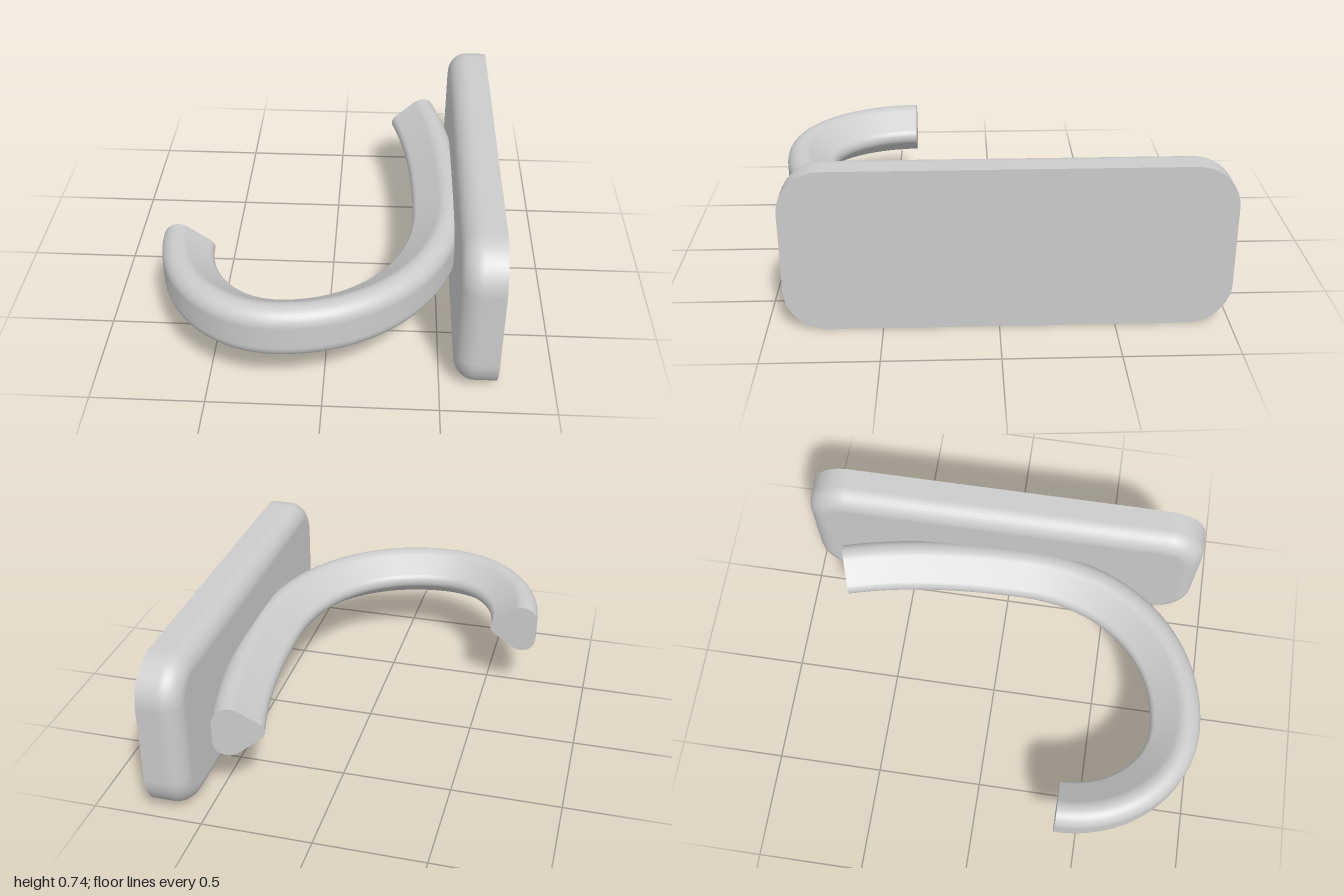
import * as THREE from 'three';

const V = (x, y, z) => new THREE.Vector3(x, y, z);

// Skin a row of closed rings of { p, n } points, with flat caps on both ends
function loft(rings) {
  const pos = [], nor = [], index = [];
  const add = (p, n) => { pos.push(p.x, p.y, p.z); nor.push(n.x, n.y, n.z); return pos.length / 3 - 1; };
  const at = (arr, i) => V().fromArray(arr, i * 3);
  const tri = (a, b, c) => {
    const p = at(pos, a), face = at(pos, b).sub(p).cross(at(pos, c).sub(p));
    const n = at(nor, a).add(at(nor, b)).add(at(nor, c));
    if (face.dot(n) < 0) index.push(a, c, b); else index.push(a, b, c);
  };
  const count = rings[0].length;
  rings.forEach((ring) => ring.forEach(({ p, n }) => add(p, n)));
  for (let i = 0; i < rings.length - 1; i++) {
    for (let j = 0; j < count; j++) {
      const a = i * count + j, b = i * count + (j + 1) % count;
      tri(a, b, a + count);
      tri(b, b + count, a + count);
    }
  }
  const mean = (ring) => ring.reduce((s, { p }) => s.add(p), V()).divideScalar(count);
  const cap = (ring, next) => {
    const c = mean(ring), n = c.clone().sub(mean(next));
    // The cap faces along the ring's own plane normal, away from the next ring
    const q = Math.floor(count / 3);
    const plane = ring[0].p.clone().sub(c).cross(ring[q].p.clone().sub(c)).normalize();
    if (plane.dot(n) < 0) plane.negate();
    const mid = add(c, plane), rim = ring.map(({ p }) => add(p, plane));
    rim.forEach((v, j) => tri(mid, v, rim[(j + 1) % count]));
  };
  cap(rings[0], rings[1]);
  cap(rings.at(-1), rings.at(-2));
  const geo = new THREE.BufferGeometry();
  geo.setAttribute('position', new THREE.Float32BufferAttribute(pos, 3));
  geo.setAttribute('normal', new THREE.Float32BufferAttribute(nor, 3));
  geo.setIndex(index);
  return geo;
}

// Closed outline made of arcs [centre u, centre v, radius, start, end]
function arcOutline(arcs, steps) {
  return arcs.flatMap(([u, v, r, a0, a1]) => Array.from({ length: steps + 1 }, (_, i) => {
    const a = a0 + (a1 - a0) * i / steps, c = Math.cos(a), s = Math.sin(a);
    return { u: u + r * c, v: v + r * s, c, s };
  }));
}

// Mounting plate: rounded rectangle, sharp at the wall, filleted towards the hook
function plateGeometry() {
  const wallX = 0.745, faceX = 0.56, fillet = 0.09, corner = 0.19;
  const hz = 0.96 - corner, hy = 0.37 - corner, q = Math.PI / 2;
  const ring = (x, r, tilt) => arcOutline(
    [[hz, hy], [-hz, hy], [-hz, -hy], [hz, -hy]].map(([u, v], k) => [u, v, r, k * q, (k + 1) * q]), 10
  ).map(({ u, v, c, s }) => ({
    p: V(x, 0.37 + v, u - 0.04),
    n: V(-Math.sin(tilt), s * Math.cos(tilt), c * Math.cos(tilt)),
  }));
  const rings = [ring(wallX, corner, 0)];
  for (let i = 0; i <= 10; i++) {
    const t = q * i / 10;
    rings.push(ring(faceX + fillet * (1 - Math.sin(t)), corner - fillet * (1 - Math.cos(t)), t));
  }
  return loft(rings);
}

// Hook: rounded triangular bar, flat side outwards, swept along a J
function hookGeometry() {
  const R = 0.07, r = 0.045, cu = 0.044, cv = 0.05, au = -0.069;
  const t = Math.atan2(cv, cu - au) + Math.acos((r - R) / Math.hypot(cu - au, cv));
  const section = arcOutline([
    [cu, cv, R, 0, t],
    [au, 0, r, t, 2 * Math.PI - t],
    [cu, -cv, R, -t, 0],
  ], 12);
  const bez = (...p) => new THREE.CubicBezierCurve(...p.map(([x, z]) => new THREE.Vector2(x, z)));
  const curves = [
    bez([0.381, -0.797], [0.467, -0.51], [0.491, -0.2], [0.491, 0.08]),
    bez([0.491, 0.08], [0.491, 0.6], [0.15, 0.883], [-0.2, 0.883]),
    bez([-0.2, 0.883], [-0.44, 0.883], [-0.631, 0.66], [-0.631, 0.385]),
  ];
  const rings = [];
  curves.forEach((curve, k) => {
    for (let i = k ? 1 : 0; i <= 24; i++) {
      const o = curve.getPoint(i / 24), d = curve.getTangent(i / 24);
      rings.push(section.map(({ u, v, c, s }) => ({
        p: V(o.x + d.y * u, 0.365 + v, o.y - d.x * u),
        n: V(d.y * c, s, -d.x * c),
      })));
    }
  });
  return loft(rings);
}

export function createModel() {
  const group = new THREE.Group();
  group.name = 'wallHook';
  const material = new THREE.MeshStandardMaterial({ color: 0xcccccc });
  const part = (name, geometry) => {
    const mesh = new THREE.Mesh(geometry, material);
    mesh.name = name;
    group.add(mesh);
  };
  part('mountingPlate', plateGeometry());
  part('hook', hookGeometry());
  return group;
}
